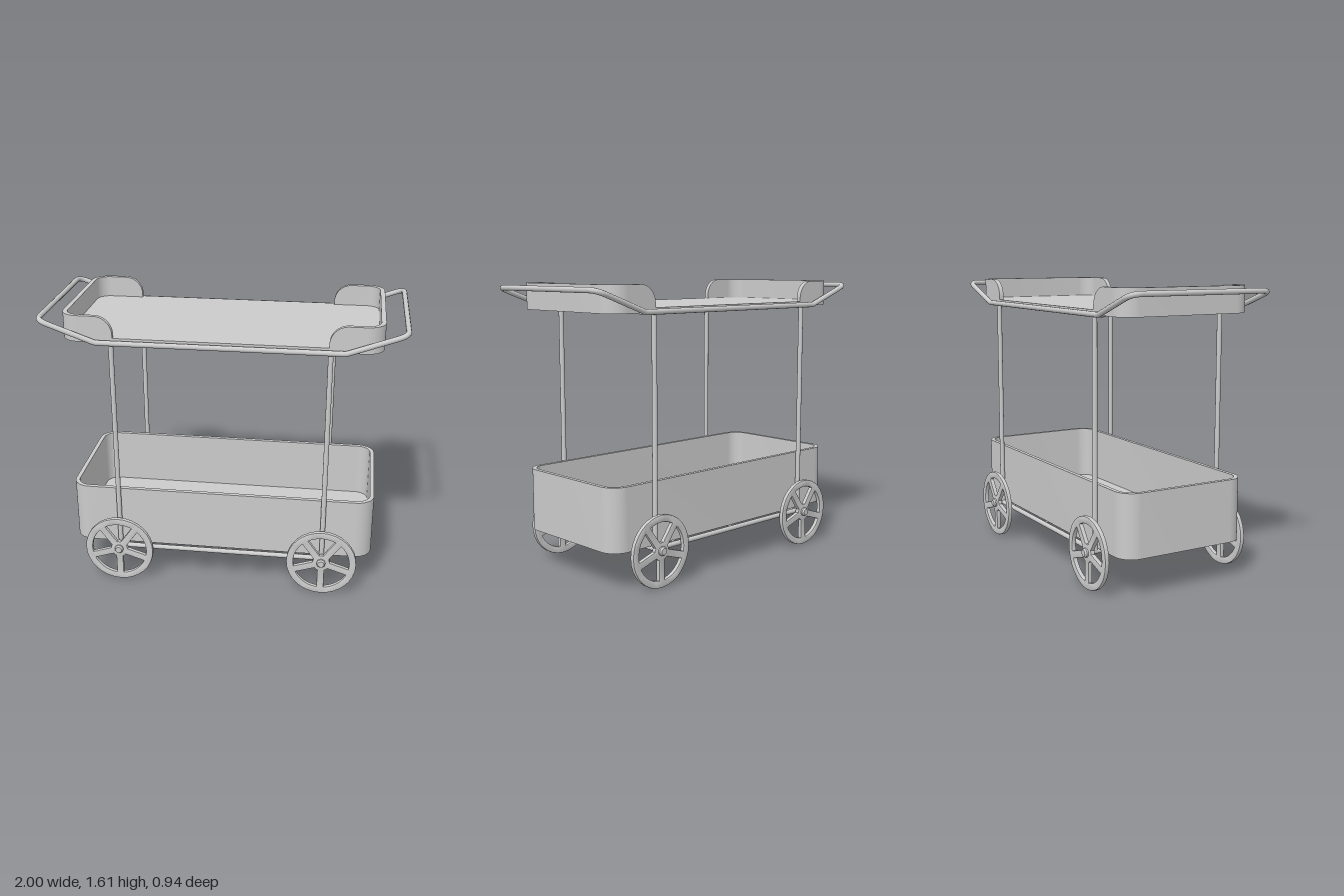
import * as THREE from 'three';
import { toCreasedNormals } from 'three/addons/utils/BufferGeometryUtils.js';

const material = new THREE.MeshStandardMaterial({ color: 0xcccccc });

function add(parent, name, geometry, x = 0, y = 0, z = 0) {
  const mesh = new THREE.Mesh(geometry, material);
  mesh.name = name;
  mesh.position.set(x, y, z);
  parent.add(mesh);
  return mesh;
}

// extrusion with smooth curves and sharp edges
function extrude(shape, depth, bevel = 0) {
  const g = new THREE.ExtrudeGeometry(shape, {
    depth, curveSegments: 16, bevelEnabled: bevel > 0,
    bevelSize: bevel, bevelOffset: -bevel, bevelThickness: bevel, bevelSegments: 2,
  });
  return toCreasedNormals(g, 0.6);
}

// plan shape extruded upwards
const extrudeUp = (shape, height) => extrude(shape, height).rotateX(-Math.PI / 2);

function roundedRect(hx, hz, r, path = new THREE.Shape()) {
  path.absarc(hx - r, hz - r, r, 0, Math.PI / 2);
  path.absarc(-hx + r, hz - r, r, Math.PI / 2, Math.PI);
  path.absarc(-hx + r, -hz + r, r, Math.PI, Math.PI * 1.5);
  path.absarc(hx - r, -hz + r, r, Math.PI * 1.5, Math.PI * 2);
  path.closePath();
  return path;
}

// closed tube through corner points [x, y, z, bend radius]
function closedTube(corners, radius) {
  const curve = new THREE.CurvePath();
  const n = corners.length;
  const at = (i) => new THREE.Vector3(...corners[(i + n) % n].slice(0, 3));
  const toward = (i, j) => at(i).add(at(j).sub(at(i)).setLength(corners[(i + n) % n][3]));
  for (let i = 0; i < n; i++) {
    curve.add(new THREE.QuadraticBezierCurve3(toward(i, i - 1), at(i), toward(i, i + 1)));
    curve.add(new THREE.LineCurve3(toward(i, i + 1), toward((i + 1) % n, i)));
  }
  return new THREE.TubeGeometry(curve, 500, radius, 12, true);
}

const rod = (r, length) => new THREE.CylinderGeometry(r, r, length, 16);

// five-spoked wheel with wedge windows
function wheelGeometry() {
  const shape = new THREE.Shape().absarc(0, 0, 0.2, 0, Math.PI * 2);
  const half = Math.PI / 5, spoke = 0.02;
  for (let k = 0; k < 5; k++) {
    const mid = Math.PI / 2 + k * half * 2;
    const hole = new THREE.Path();
    const outer = half - Math.asin(spoke / 0.16);
    const inner = half - Math.asin(spoke / 0.05);
    hole.absarc(0, 0, 0.16, mid - outer, mid + outer, false);
    hole.absarc(0, 0, 0.05, mid + inner, mid - inner, true);
    hole.closePath();
    shape.holes.push(hole);
  }
  return extrude(shape, 0.017, 0.004).translate(0, 0, -0.0085);
}

// raised tray end, built for the +x side
function trayEnd() {
  const group = new THREE.Group();
  const X = 0.87, Z = 0.4, T = 0.026, R = 0.1, x0 = 0.77, H = 0.145;
  const bend = new THREE.Shape();
  bend.moveTo(x0, -Z);
  bend.absarc(X - R, -Z + R, R, -Math.PI / 2, 0);
  bend.absarc(X - R, Z - R, R, 0, Math.PI / 2);
  bend.lineTo(x0, Z - T);
  bend.absarc(X - R, Z - R, R - T, Math.PI / 2, 0, true);
  bend.absarc(X - R, -Z + R, R - T, 0, -Math.PI / 2, true);
  bend.closePath();
  add(group, 'endWall', extrudeUp(bend, H), 0, 1.46, 0);

  // side arms with a quarter-round leading corner
  const arm = new THREE.Shape();
  arm.moveTo(0.58, 0);
  arm.lineTo(x0, 0);
  arm.lineTo(x0, H);
  arm.absarc(0.68, H - 0.1, 0.1, Math.PI / 2, Math.PI);
  arm.closePath();
  for (const z of [-Z, Z - T]) add(group, 'endWallArm', extrude(arm, T), 0, 1.46, z);
  return group;
}

export function createModel() {
  const model = new THREE.Group();
  model.name = 'servingCart';

  // lower bin
  const bin = new THREE.Group();
  bin.name = 'lowerBin';
  model.add(bin);
  const wall = roundedRect(0.87, 0.385, 0.1);
  wall.holes.push(roundedRect(0.846, 0.361, 0.076, new THREE.Path()));
  add(bin, 'binWall', extrudeUp(wall, 0.35), 0, 0.22, 0);
  add(bin, 'binFloor', extrudeUp(roundedRect(0.86, 0.375, 0.09), 0.025), 0, 0.2205, 0);

  // upper tray
  const tray = new THREE.Group();
  tray.name = 'upperTray';
  model.add(tray);
  add(tray, 'trayFloor', extrudeUp(roundedRect(0.87, 0.4, 0.1), 0.026), 0, 1.46, 0);
  for (const turn of [0, Math.PI]) {
    const end = trayEnd();
    end.name = 'trayEnd';
    end.rotation.y = turn;
    tray.add(end);
  }

  // handle rail around the tray
  const rail = [];
  for (const [sx, sz] of [[1, 1], [1, -1], [-1, -1], [-1, 1]]) {
    const low = [sx * 0.67, 1.465, sz * 0.423, 0.012];
    const high = [sx * 0.985, 1.58, sz * 0.423, 0.06];
    rail.push(...(sx * sz > 0 ? [low, high] : [high, low]));
  }
  add(model, 'handleRail', closedTube(rail, 0.015));

  // base frame, posts and wheels
  const wheel = wheelGeometry();
  for (const s of [-1, 1]) {
    add(model, 'frameSideTube', rod(0.014, 1.18), 0, 0.204, s * 0.398).rotation.z = Math.PI / 2;
    add(model, 'axle', rod(0.014, 0.86), s * 0.59, 0.204, 0).rotation.x = Math.PI / 2;
    for (const x of [-0.59, 0.59]) {
      add(model, 'post', rod(0.014, 1.265), x, 0.8325, s * 0.398);
      add(model, 'wheel', wheel, x, 0.2, s * 0.438);
      const hub = new THREE.CylinderGeometry(0.018, 0.025, 0.01, 20).translate(0, 0.018, 0);
      add(model, 'hubCap', hub, x, 0.204, s * 0.447).rotation.x = s * Math.PI / 2;
      add(model, 'hub', rod(0.025, 0.04), x, 0.204, s * 0.44).rotation.x = Math.PI / 2;
    }
    // small fixing pins
    for (const x of [-0.67, -0.45, 0, 0.45, 0.67]) {
      add(model, 'trayPin', rod(0.007, 0.04), x, 1.459, s * 0.4).rotation.x = Math.PI / 2;
      if (Math.abs(x) < 0.5) {
        add(model, 'binPin', rod(0.007, 0.04), x, 0.216, s * 0.378).rotation.x = Math.PI / 2;
      }
    }
  }
  return model;
}
